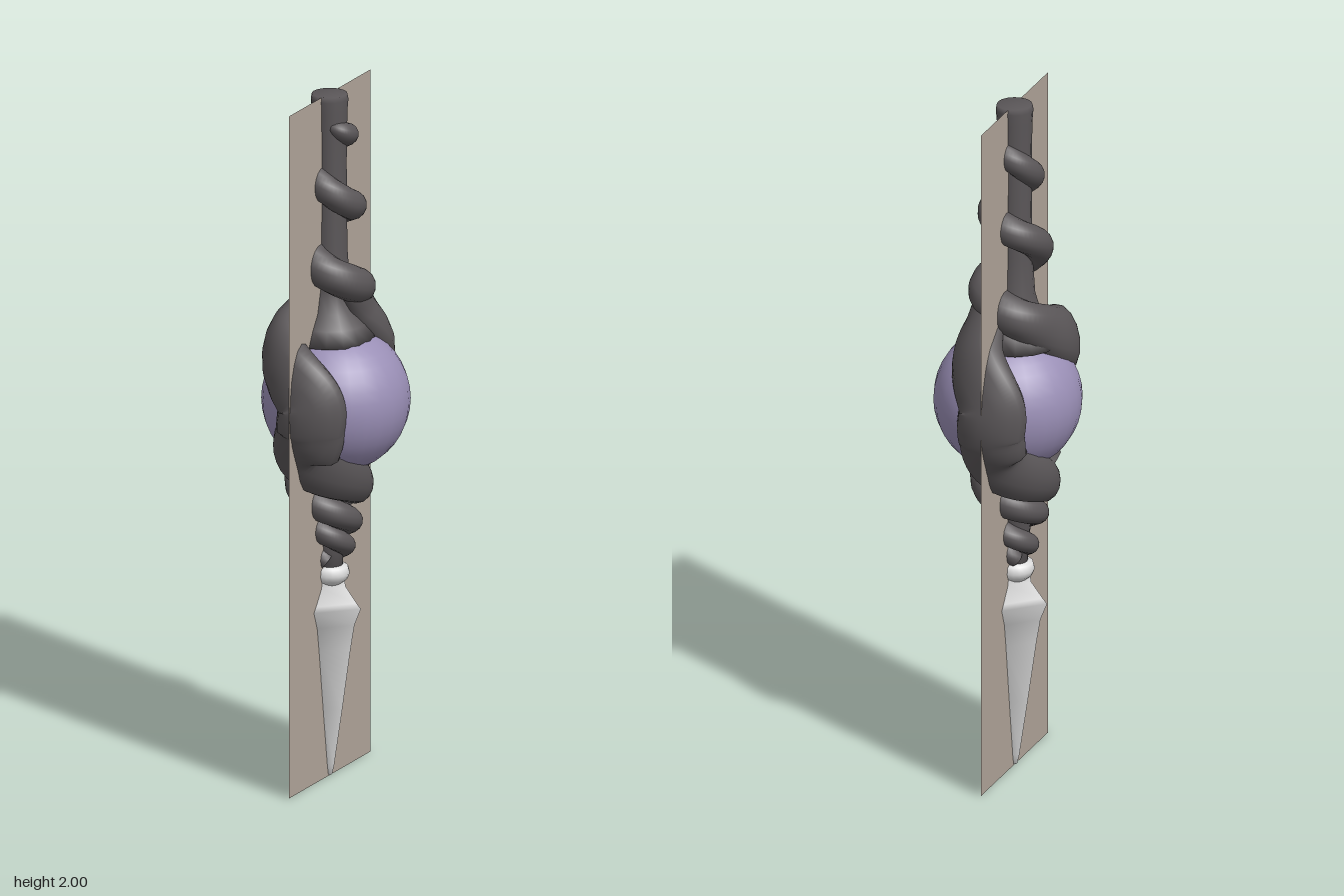
import * as THREE from 'three';

const AXIS = -0.02; // the shaft sits slightly off centre

// Sweep an elliptical section along a spiral around the y axis.
// Each key: [angle in degrees, y, radius, half width, half thickness]
function spiralBand(keys, steps, sides = 14) {
  const path = new THREE.CatmullRomCurve3(
    keys.map(k => new THREE.Vector3(THREE.MathUtils.degToRad(k[0]), k[1], k[2])), false, 'catmullrom', 0.5);
  const size = new THREE.CatmullRomCurve3(
    keys.map(k => new THREE.Vector3(k[3], k[4], 0)), false, 'catmullrom', 0.5);
  const at = t => {
    const p = path.getPoint(Math.min(1, Math.max(0, t)));
    return new THREE.Vector3(Math.cos(p.x) * p.z, p.y, Math.sin(p.x) * p.z);
  };
  const pos = [], index = [];
  for (let i = 0; i <= steps; i++) {
    const t = i / steps, c = at(t), s = size.getPoint(t);
    const T = at(t + 0.002).sub(at(t - 0.002)).normalize();
    const N = new THREE.Vector3(c.x, 0, c.z).normalize();
    N.addScaledVector(T, -N.dot(T)).normalize();
    const B = new THREE.Vector3().crossVectors(T, N);
    for (let j = 0; j < sides; j++) {
      const a = j / sides * Math.PI * 2;
      const v = c.clone().addScaledVector(B, Math.cos(a) * s.x).addScaledVector(N, Math.sin(a) * s.y);
      pos.push(v.x, v.y, v.z);
      if (i < steps) {
        const k = (j + 1) % sides, p = i * sides, q = p + sides;
        index.push(p + j, q + j, p + k, q + j, q + k, p + k);
      }
    }
  }
  const g = new THREE.BufferGeometry();
  g.setAttribute('position', new THREE.Float32BufferAttribute(pos, 3));
  g.setIndex(index);
  g.computeVertexNormals();
  return g;
}

const lathe = (pts, sides) =>
  new THREE.LatheGeometry(pts.map(p => new THREE.Vector2(p[0], p[1])), sides);

export function createModel() {
  const mat = (name, color, side = THREE.FrontSide) => {
    const m = new THREE.MeshStandardMaterial({ color, side });
    m.name = name;
    return m;
  };
  const wood = mat('dark wood', 0x5a5658);
  const violet = mat('violet', 0x9a8fb6);
  const steel = mat('pale steel', 0xdcdcdc);
  const taupe = mat('taupe', 0xb0a499, THREE.DoubleSide);

  const model = new THREE.Group();
  model.name = 'spiralStaff';
  const add = (name, geometry, material, x = AXIS, y = 0, z = 0) => {
    const m = new THREE.Mesh(geometry, material);
    m.name = name;
    m.position.set(x, y, z);
    model.add(m);
    return m;
  };

  // Shaft above the orb and stem below it, flaring into cups that hold the orb
  add('shaft', lathe([[0.06, 1.27], [0.13, 1.285], [0.105, 1.33], [0.075, 1.37], [0.058, 1.43],
    [0.05, 1.55], [0.048, 1.8], [0.05, 1.95], [0.053, 1.985], [0.05, 2], [0, 2]], 16), wood);
  add('stem', lathe([[0, 0.6], [0.036, 0.6], [0.04, 0.68], [0.05, 0.76], [0.075, 0.84],
    [0.105, 0.9], [0.13, 0.945], [0.06, 0.96]], 16), wood);

  // Orb
  add('orb', new THREE.SphereGeometry(0.21, 28, 20), violet, 0, 1.11, 0);

  // Vine: winds down the shaft, spreads over the front of the orb, then down the stem
  add('frontVine', spiralBand([
    [60, 1.915, 0.03, 0.015, 0.015],
    [0, 1.89, 0.045, 0.03, 0.034],
    [-90, 1.855, 0.045, 0.035, 0.036],
    [-180, 1.8, 0.046, 0.037, 0.037],
    [-270, 1.745, 0.052, 0.04, 0.04],
    [-360, 1.685, 0.06, 0.042, 0.043],
    [-450, 1.645, 0.062, 0.043, 0.045],
    [-540, 1.59, 0.062, 0.045, 0.046],
    [-630, 1.51, 0.068, 0.05, 0.05],
    [-720, 1.45, 0.075, 0.052, 0.054],
    [-810, 1.4, 0.078, 0.055, 0.055],
    [-895, 1.335, 0.09, 0.07, 0.05],
    [-955, 1.26, 0.15, 0.095, 0.055],
    [-998, 1.16, 0.192, 0.1, 0.058],
    [-1000, 1.06, 0.19, 0.1, 0.058],
    [-998, 0.97, 0.145, 0.1, 0.055],
    [-1070, 0.88, 0.085, 0.065, 0.05],
    [-1170, 0.82, 0.066, 0.045, 0.046],
    [-1260, 0.775, 0.058, 0.038, 0.042],
    [-1350, 0.73, 0.05, 0.034, 0.038],
    [-1440, 0.685, 0.043, 0.03, 0.034],
    [-1560, 0.635, 0.028, 0.025, 0.026],
  ], 260), wood);

  // Second vine: branches off over the back of the orb
  add('backVine', spiralBand([
    [-720, 1.44, 0.06, 0.04, 0.04],
    [-765, 1.37, 0.085, 0.07, 0.05],
    [-790, 1.27, 0.155, 0.095, 0.055],
    [-812, 1.16, 0.195, 0.1, 0.058],
    [-812, 1.06, 0.193, 0.1, 0.058],
    [-822, 0.96, 0.145, 0.09, 0.055],
    [-900, 0.87, 0.085, 0.06, 0.05],
    [-990, 0.81, 0.066, 0.043, 0.046],
    [-1080, 0.76, 0.056, 0.037, 0.041],
    [-1170, 0.715, 0.048, 0.032, 0.037],
    [-1260, 0.675, 0.04, 0.03, 0.032],
    [-1360, 0.635, 0.028, 0.025, 0.026],
  ], 180), wood);

  // Steel collar and four-edged spike
  add('collar', lathe([[0.035, 0.565], [0.05, 0.578], [0.057, 0.595], [0.052, 0.615], [0.03, 0.622]], 20), steel);
  add('spike', lathe([[0, 0], [0.008, 0.004], [0.014, 0.03], [0.04, 0.2], [0.066, 0.38], [0.078, 0.45],
    [0.098, 0.5], [0.085, 0.515], [0.05, 0.56], [0.046, 0.59]], 4), steel);

  // Flat upright panel through the shaft
  const panel = add('panel', new THREE.PlaneGeometry(0.51, 2), taupe, AXIS, 1, 0);
  panel.rotation.y = Math.PI / 2;

  return model;
}
